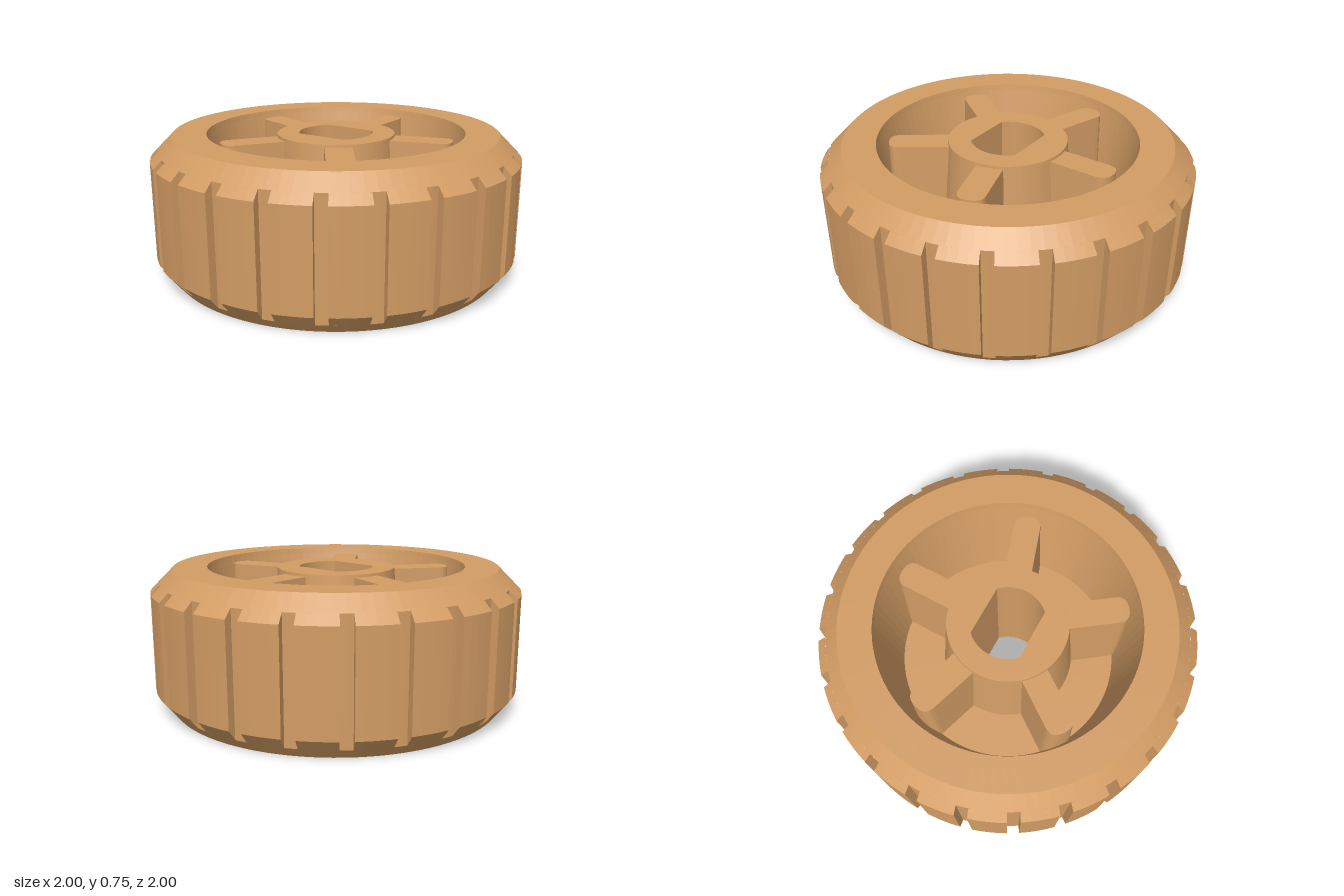
import * as THREE from 'three';
import { mergeGeometries } from 'three/addons/utils/BufferGeometryUtils.js';

const v = (x, y) => new THREE.Vector2(x, y);

// Flat-faceted copy of a geometry
function faceted(geometry) {
  const g = geometry.index ? geometry.toNonIndexed() : geometry;
  g.deleteAttribute('uv');
  g.computeVertexNormals();
  return g;
}

// Raised tread block: a short arc of the tyre with closed ends
function treadBlock(start, length) {
  const profile = [v(0.955, 0.0524), v(1, 0.11), v(1, 0.63), v(0.955, 0.675)];
  const skin = new THREE.LatheGeometry(profile, 4, start, length);
  const startCap = new THREE.ShapeGeometry(new THREE.Shape(profile));
  const endCap = startCap.clone();
  endCap.index.array.reverse();
  startCap.rotateY(start - Math.PI / 2);
  endCap.rotateY(start + length - Math.PI / 2);
  return mergeGeometries([skin, startCap, endCap].map(faceted));
}

// Spoke along +x with a rounded tip, wider towards the floor
function spokeGeometry() {
  const w = 0.072, tip = 0.64, r = 0.06;
  const s = new THREE.Shape();
  s.moveTo(0.3, -w);
  s.lineTo(tip - r, -w);
  s.quadraticCurveTo(tip, -w, tip, 0);
  s.quadraticCurveTo(tip, w, tip - r, w);
  s.lineTo(0.3, w);
  s.closePath();
  const g = new THREE.ExtrudeGeometry(s, { depth: 0.48, bevelEnabled: false, curveSegments: 6 });
  g.rotateX(-Math.PI / 2).translate(0, 0.24, 0);
  const p = g.attributes.position;
  for (let i = 0; i < p.count; i++) {
    if (p.getY(i) < 0.3) p.setZ(i, p.getZ(i) * 1.25);
  }
  return faceted(g);
}

export function createModel() {
  const group = new THREE.Group();
  const tan = new THREE.MeshStandardMaterial({ color: 0xd29c64 });
  tan.name = 'tan';
  const add = (name, geometry) => {
    const mesh = new THREE.Mesh(geometry, tan);
    mesh.name = name;
    group.add(mesh);
    return mesh;
  };

  // Wheel body: base, groove floor of the tread, rim, dished wall, floor and hub side
  const body = [
    v(0.32, 0), v(0.914, 0), v(0.955, 0.0524), v(0.955, 0.675), v(0.88, 0.75),
    v(0.70, 0.75), v(0.695, 0.72), v(0.60, 0.25), v(0.365, 0.25), v(0.32, 0.735),
  ];
  add('wheelBody', faceted(new THREE.LatheGeometry(body, 96)));

  // Hub with a round bore that has two flats
  const hub = new THREE.Shape().absarc(0, 0, 0.32, 0, Math.PI * 2);
  const a = Math.asin(0.142 / 0.2);
  const bore = new THREE.Path();
  bore.absarc(0, 0, 0.2, -a, a);
  bore.absarc(0, 0, 0.2, Math.PI - a, Math.PI + a);
  bore.closePath();
  hub.holes.push(bore);
  const hubGeometry = new THREE.ExtrudeGeometry(hub, { depth: 0.735, bevelEnabled: false, curveSegments: 48 });
  add('hub', faceted(hubGeometry.rotateX(-Math.PI / 2)));

  // Five spokes
  const spoke = spokeGeometry();
  for (let i = 0; i < 5; i++) {
    add('spoke', spoke).rotation.y = Math.PI / 2 + (i * Math.PI * 2) / 5;
  }

  // Tread blocks separated by 24 grooves
  const step = Math.PI / 12, halfGroove = 0.033;
  const block = treadBlock(halfGroove, step - 2 * halfGroove);
  for (let i = 0; i < 24; i++) add('treadBlock', block).rotation.y = i * step;

  return group;
}
